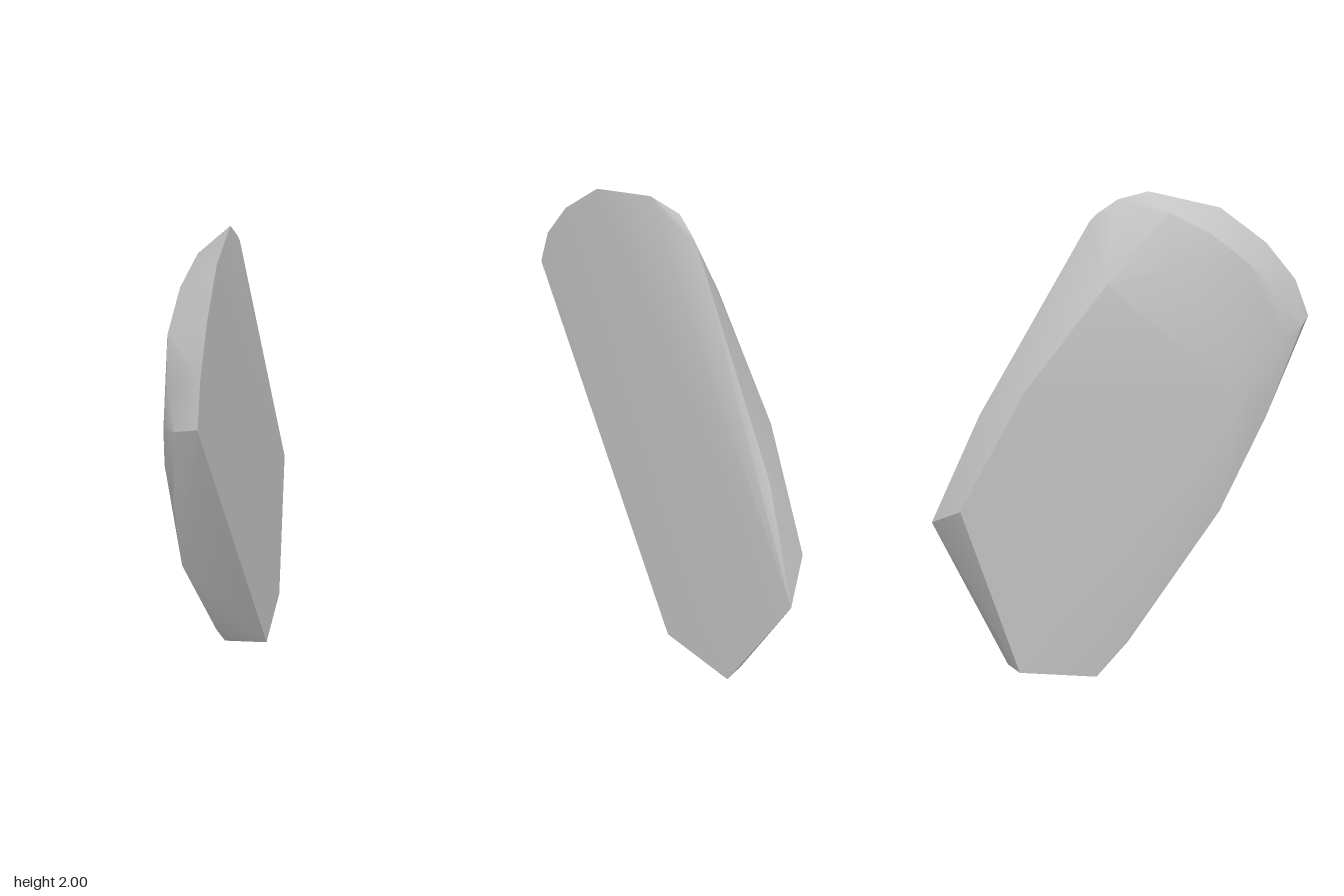
import * as THREE from 'three';
import { ConvexGeometry } from 'three/addons/geometries/ConvexGeometry.js';
import { toCreasedNormals } from 'three/addons/utils/BufferGeometryUtils.js';

export function createModel() {
  const group = new THREE.Group();
  const stone = new THREE.MeshStandardMaterial({ color: 0xc4c4c4 });
  stone.name = 'pale grey';

  // outline of the flat left (+x) face, going round from the front corner
  const flatFace = [
    [0.02, 1.5, 0.79], [0.02, 1.65, 0.73], [0.02, 1.8, 0.6], [0.02, 1.94, 0.4],
    [0.02, 2.0, 0.1], [0.0, 1.965, -0.03], [0.015, 1.91, -0.11], [0.02, 1.88, -0.14],
    [0.15, 0.65, -0.79], [0.17, 0.04, -0.5], [0.155, 0.02, -0.12],
  ];
  // outline of the domed right (-x) face, same direction
  const domedFace = [
    [-0.07, 1.46, 0.73], [-0.12, 1.58, 0.6], [-0.14, 1.71, 0.48], [-0.125, 1.83, 0.32],
    [-0.09, 1.91, 0.16], [-0.14, 1.63, -0.1], [-0.1, 1.2, -0.43], [-0.04, 0.73, -0.68],
    [-0.025, 0.035, -0.45], [-0.04, 0, -0.13], [-0.057, 0.15, 0], [-0.13, 0.71, 0.37],
    [-0.115, 1.09, 0.565],
  ];
  // crown of the dome, and small points on the back and foot edges
  const details = [
    [-0.175, 1.18, 0.43], [-0.13, 1.42, 0.63], [-0.155, 1.7, 0.2],
    [0.08, 1.1, -0.59], [0.07, 0.04, -0.49],
  ];

  const points = [...flatFace, ...domedFace, ...details].map((p) => new THREE.Vector3(...p));
  const slab = new THREE.Mesh(toCreasedNormals(new ConvexGeometry(points), 0.5), stone);
  slab.name = 'slab';
  group.add(slab);
  return group;
}
